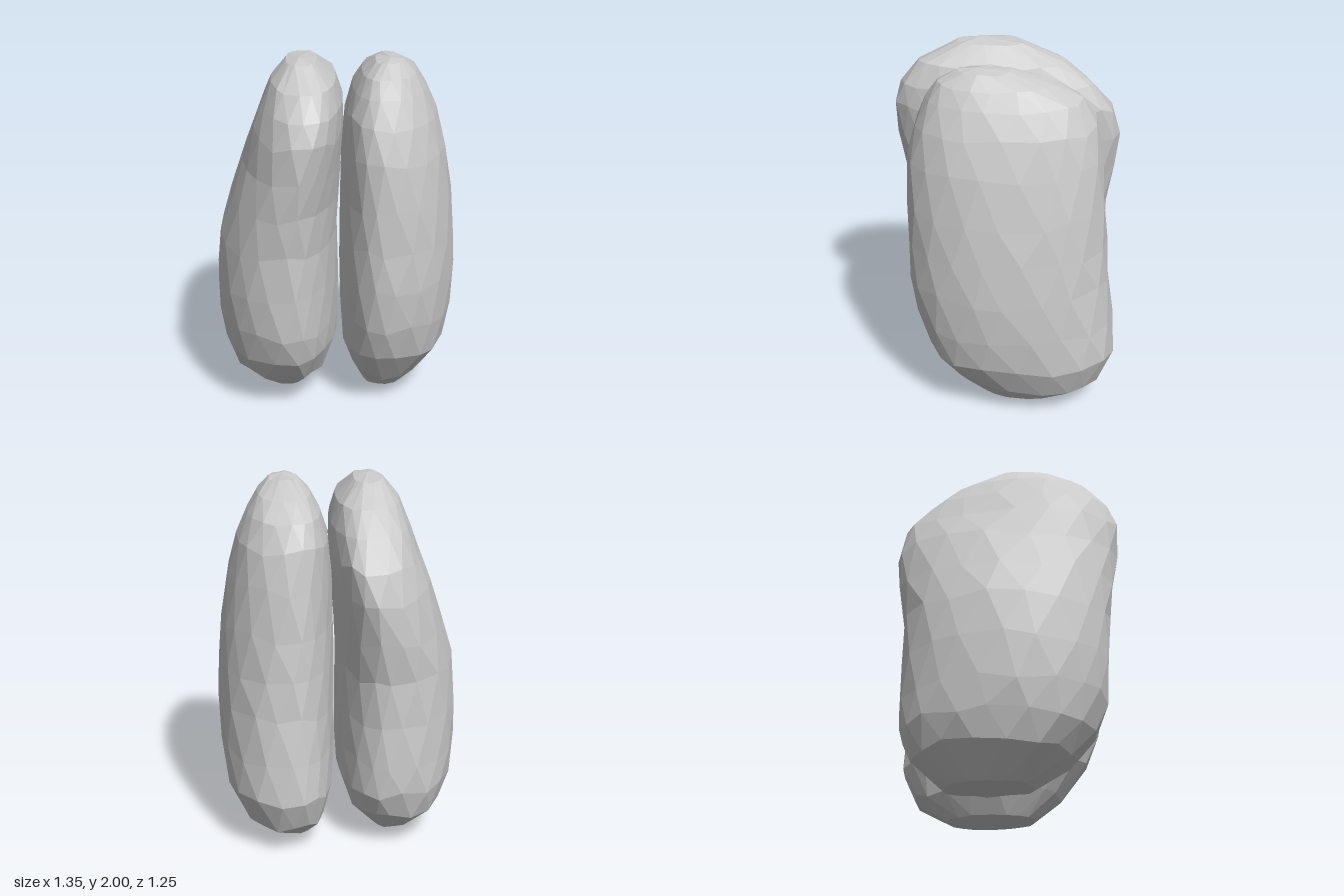
import * as THREE from 'three';

const stone = new THREE.MeshStandardMaterial({ color: 0xcccccc, flatShading: true });
stone.name = 'grey stone';

// Cross-sections from bottom to top: [y, xMin, xMax, zBack, zFront]
const LEFT = [
  [0.04, 0.14, 0.42, -0.36, 0.13],
  [0.16, 0.075, 0.54, -0.54, 0.27],
  [0.34, 0.035, 0.63, -0.615, 0.42],
  [0.56, 0.025, 0.66, -0.6, 0.49],
  [0.8, 0.02, 0.67, -0.57, 0.52],
  [1.02, 0.02, 0.66, -0.555, 0.525],
  [1.25, 0.025, 0.64, -0.54, 0.525],
  [1.5, 0.03, 0.6, -0.52, 0.515],
  [1.7, 0.05, 0.545, -0.48, 0.47],
  [1.83, 0.09, 0.485, -0.4, 0.41],
  [1.92, 0.14, 0.43, -0.25, 0.35],
  [1.985, 0.21, 0.365, -0.03, 0.24],
];
const RIGHT = [
  [0.045, -0.45, -0.17, -0.32, 0.14],
  [0.2, -0.595, -0.05, -0.5, 0.36],
  [0.35, -0.64, 0.0, -0.56, 0.47],
  [0.52, -0.665, 0.01, -0.57, 0.535],
  [0.76, -0.67, 0.01, -0.56, 0.555],
  [1.0, -0.645, 0.005, -0.56, 0.565],
  [1.22, -0.585, 0.015, -0.6, 0.59],
  [1.44, -0.51, 0.03, -0.62, 0.62],
  [1.62, -0.445, 0.04, -0.58, 0.63],
  [1.76, -0.395, 0.035, -0.46, 0.59],
  [1.88, -0.345, 0.0, -0.31, 0.49],
  [1.98, -0.265, -0.1, -0.08, 0.28],
];

function randomizer(seed) {
  return () => (seed = (seed * 16807) % 2147483647) / 2147483647;
}

// Faceted boulder: staggered, slightly uneven rings closed by end points.
// The thickest line of each oval lies at the fraction "apex" of its width,
// which makes one side flatter than the other.
function lobe(name, rings, apex, bottom, top, seed) {
  const N = 18, rnd = randomizer(seed), pos = [], idx = [];
  rings.forEach(([y, x0, x1, z0, z1], i) => {
    const rough = i > 0 && i < 9 ? 0.05 : 0.012;
    const power = i < 3 || i > 7 ? 0.88 : 0.96; // ovals are squarer near the ends
    const bulge = (v) => 1.008 * Math.sign(v) * Math.abs(v) ** power;
    const cx = x0 + (x1 - x0) * apex, cz = (z0 + z1) / 2;
    for (let j = 0; j < N; j++) {
      const a = ((j + (i % 2) / 2 + (rnd() - 0.5) * 0.3) / N) * Math.PI * 2;
      const c = bulge(Math.cos(a)), s = bulge(Math.sin(a));
      pos.push(
        cx + c * (c > 0 ? x1 - cx : cx - x0),
        y + (rnd() - 0.5) * rough,
        cz + (s * (z1 - z0)) / 2
      );
    }
  });
  const low = rings.length * N, high = low + 1, last = (rings.length - 1) * N;
  pos.push(...bottom, ...top);
  for (let j = 0; j < N; j++) {
    const n = (j + 1) % N;
    for (let i = 0; i < rings.length - 1; i++) {
      const a = i * N + j, b = i * N + n, c = a + N, d = b + N;
      // The diagonal follows the stagger so that facets stay compact
      if (i % 2) idx.push(a, d, b, a, c, d);
      else idx.push(a, c, b, b, c, d);
    }
    idx.push(low, j, n, high, last + n, last + j);
  }
  const indexed = new THREE.BufferGeometry();
  indexed.setAttribute('position', new THREE.Float32BufferAttribute(pos, 3));
  indexed.setIndex(idx);
  const geometry = indexed.toNonIndexed();
  geometry.computeVertexNormals();
  const mesh = new THREE.Mesh(geometry, stone);
  mesh.name = name;
  return mesh;
}

export function createModel() {
  const model = new THREE.Group();
  model.name = 'pairedBoulders';
  model.add(
    lobe('leftBoulder', LEFT, 0.39, [0.28, 0, -0.12], [0.29, 2, 0.15], 71),
    lobe('rightBoulder', RIGHT, 0.6, [-0.3, 0.005, -0.08], [-0.19, 2, 0.16], 137)
  );
  return model;
}
